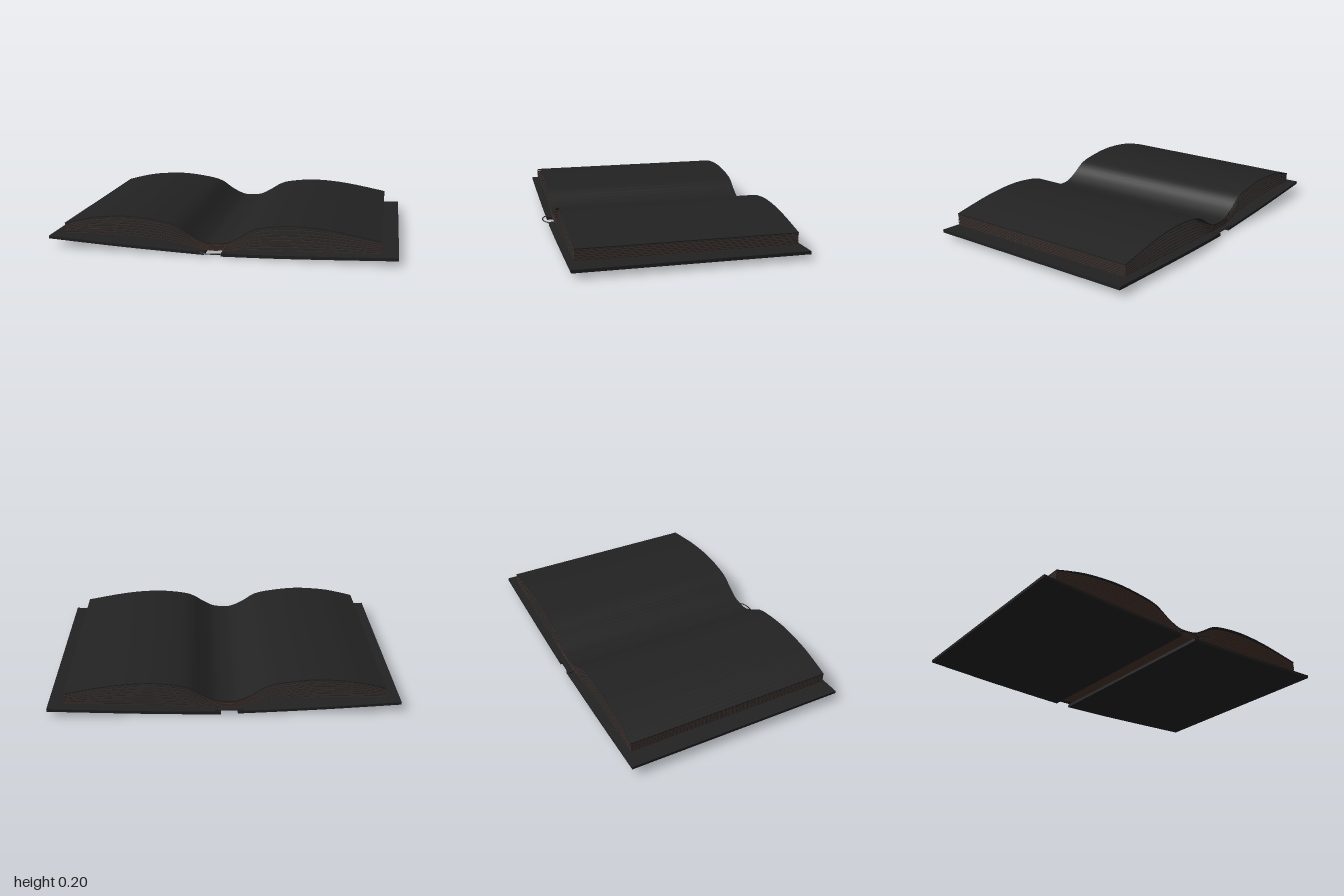
import * as THREE from 'three';
import { toCreasedNormals } from 'three/addons/utils/BufferGeometryUtils.js';

const dark = new THREE.MeshStandardMaterial({ color: 0x222222 });
dark.name = 'charcoal';
const brown = new THREE.MeshStandardMaterial({ color: 0x4a352d });
brown.name = 'brown paper';

// Curved sheet: a top outline thickened downwards and extruded along z
function sheet(name, points, thickness, zBack, zFront, samples, material) {
  const curve = new THREE.SplineCurve(points.map(([x, y]) => new THREE.Vector2(x, y)));
  const top = curve.getPoints(samples);
  const bottom = top.map((p) => new THREE.Vector2(p.x, p.y - thickness)).reverse();
  const geometry = new THREE.ExtrudeGeometry(new THREE.Shape([...top, ...bottom]), {
    depth: zFront - zBack, bevelEnabled: false,
  });
  geometry.translate(0, 0, zBack);
  const mesh = new THREE.Mesh(toCreasedNormals(geometry, 0.5), material);
  mesh.name = name;
  return mesh;
}

// x, height of the lowest page, height of the highest page
const pageProfile = [
  [-0.91, 0.088, 0.142], [-0.82, 0.092, 0.166], [-0.7, 0.094, 0.19], [-0.52, 0.092, 0.202],
  [-0.36, 0.082, 0.188], [-0.24, 0.066, 0.162], [-0.15, 0.048, 0.105], [-0.08, 0.033, 0.072],
  [-0.03, 0.028, 0.066], [0.05, 0.034, 0.074], [0.12, 0.04, 0.11], [0.2, 0.044, 0.158],
  [0.3, 0.048, 0.18], [0.45, 0.053, 0.19], [0.65, 0.059, 0.174], [0.905, 0.064, 0.128],
];

export function createModel() {
  const book = new THREE.Group();
  book.name = 'openBook';

  // Covers, slightly bowed
  const covers = new THREE.Group();
  covers.name = 'covers';
  covers.add(
    sheet('rightCover', [[-1, 0.067], [-0.6, 0.043], [-0.3, 0.029], [-0.075, 0.02]], 0.016, -0.665, 0.63, 16, dark),
    sheet('leftCover', [[0.02, 0.018], [0.3, 0.023], [0.6, 0.033], [1, 0.049]], 0.018, -0.665, 0.63, 16, dark),
  );
  book.add(covers);

  // Loose pages fanning out from the gutter, brown paper with dark faces
  const pages = new THREE.Group();
  pages.name = 'pages';
  const count = 8;
  for (let i = 0; i < count; i++) {
    const t = i / (count - 1);
    const line = pageProfile.map(([x, low, high]) => [x, low + (high - low) * t]);
    const under = line.map(([x, y]) => [x, y - 0.002]);
    pages.add(sheet('pageFace', line, 0.002, -0.63, 0.6, 60, dark));
    pages.add(sheet('pagePaper', under, 0.0035, -0.63, 0.6, 60, i === count - 1 ? dark : brown));
  }
  book.add(pages);

  // Spine flap across the back end of the gutter
  const flap = new THREE.Mesh(new THREE.BoxGeometry(0.16, 0.006, 0.04), dark);
  flap.name = 'spineFlap';
  flap.position.set(-0.03, 0.026, -0.643);
  book.add(flap);

  // Thin loop at the front end of the spine
  const arc = [];
  for (let i = 0; i <= 12; i++) {
    const a = (i / 12) * Math.PI;
    arc.push(new THREE.Vector3(-0.03 + 0.075 * Math.cos(a), 0.021, 0.622 + 0.039 * Math.sin(a)));
  }
  const loop = new THREE.Mesh(
    new THREE.TubeGeometry(new THREE.CatmullRomCurve3(arc), 24, 0.0035, 6), dark);
  loop.name = 'spineLoop';
  book.add(loop);

  return book;
}
